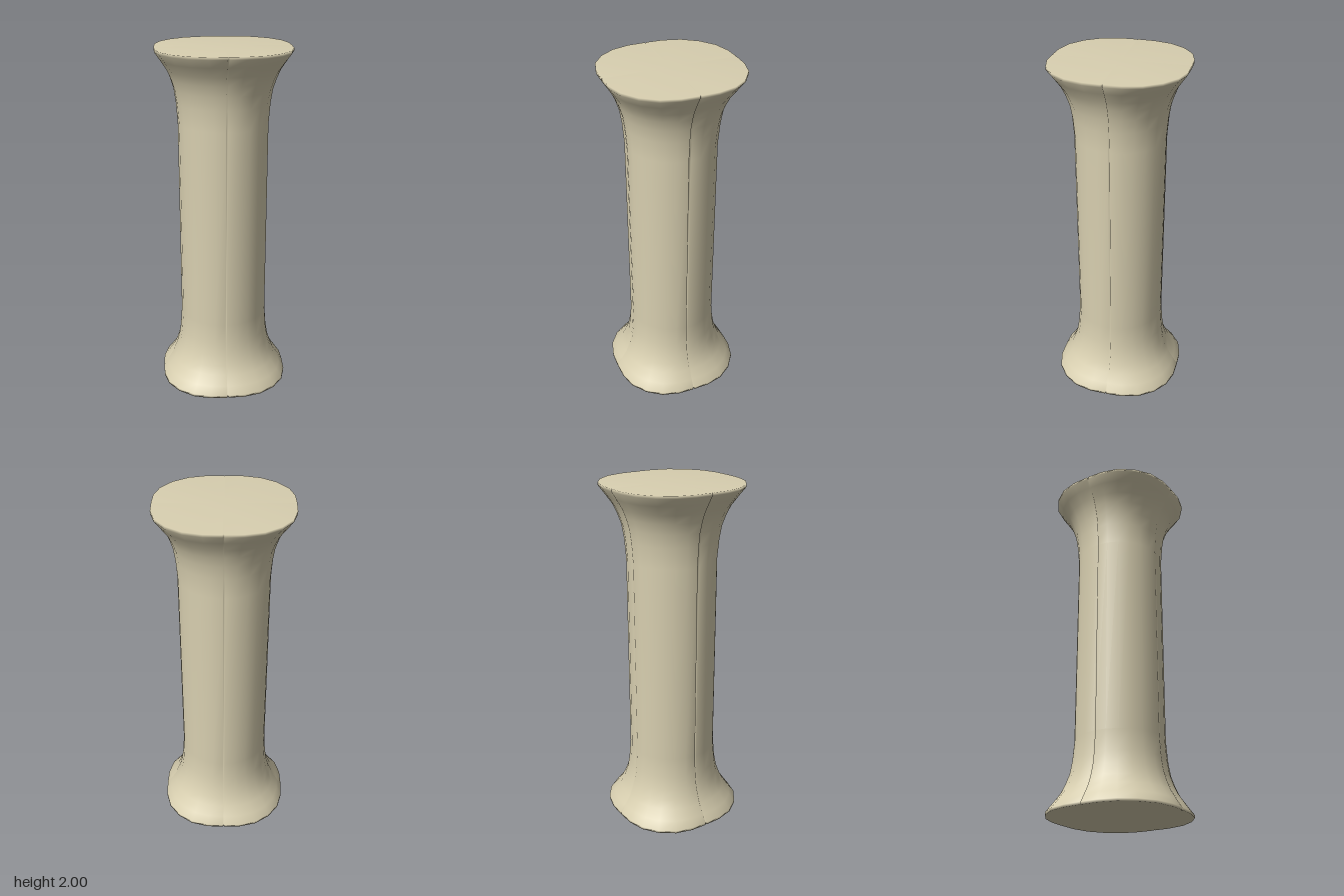
import * as THREE from 'three';

// One quarter of the cross-section, [x, z]: V-groove bottom, groove lip, then round to the next lip.
const SHAFT = [[0, 0.245], [0.005, 0.255], [0.066, 0.247], [0.1275, 0.221], [0.18, 0.18],
  [0.221, 0.1275], [0.247, 0.066], [0.255, 0.005]];
const RIM = [[0, 0.365], [0.005, 0.375], [0.1, 0.372], [0.199, 0.345], [0.284, 0.284],
  [0.345, 0.199], [0.372, 0.1], [0.375, 0.005]];

// Flare profile: [distance from the end, blend from shaft to rim]
const FLARE = [[0, 1], [0.015, 1], [0.06, 0.76], [0.115, 0.48], [0.165, 0.31],
  [0.225, 0.16], [0.3, 0.07], [0.42, 0]];

// Repeat a quarter four times around the y axis
function fullRing(quarter) {
  const ring = [];
  for (let q = 0; q < 4; q++) {
    for (const [x, z] of quarter) {
      let px = x, pz = z;
      for (let k = 0; k < q; k++) [px, pz] = [pz, -px];
      ring.push([px, pz]);
    }
  }
  return ring;
}

function columnGeometry() {
  const shaft = fullRing(SHAFT), rim = fullRing(RIM), n = shaft.length;
  const levels = [
    ...FLARE.map(([d, t]) => [d, t]),
    ...FLARE.map(([d, t]) => [2 - d, t]).reverse(),
  ];
  const positions = [], index = [];
  for (const [y, t] of levels) {
    for (let j = 0; j < n; j++) {
      positions.push(
        THREE.MathUtils.lerp(shaft[j][0], rim[j][0], t), y,
        THREE.MathUtils.lerp(shaft[j][1], rim[j][1], t));
    }
  }
  // Walls
  for (let i = 0; i < levels.length - 1; i++) {
    for (let j = 0; j < n; j++) {
      const k = (j + 1) % n;
      const a = i * n + j, b = i * n + k, c = b + n, d = a + n;
      index.push(a, b, c, a, c, d);
    }
  }
  // End caps share the rim vertices, so the shading rolls softly over the edge
  const bottom = levels.length * n, top = bottom + 1, last = (levels.length - 1) * n;
  positions.push(0, 0, 0, 0, 2, 0);
  for (let j = 0; j < n; j++) {
    const k = (j + 1) % n;
    index.push(bottom, k, j, top, last + j, last + k);
  }
  const geometry = new THREE.BufferGeometry();
  geometry.setAttribute('position', new THREE.Float32BufferAttribute(positions, 3));
  geometry.setIndex(index);
  geometry.computeVertexNormals();
  return geometry;
}

export function createModel() {
  const stone = new THREE.MeshStandardMaterial({ color: 0xd8cfb0 });
  stone.name = 'sandstone';
  const group = new THREE.Group();
  group.name = 'column';
  const body = new THREE.Mesh(columnGeometry(), stone);
  body.name = 'groovedColumn';
  group.add(body);
  return group;
}
